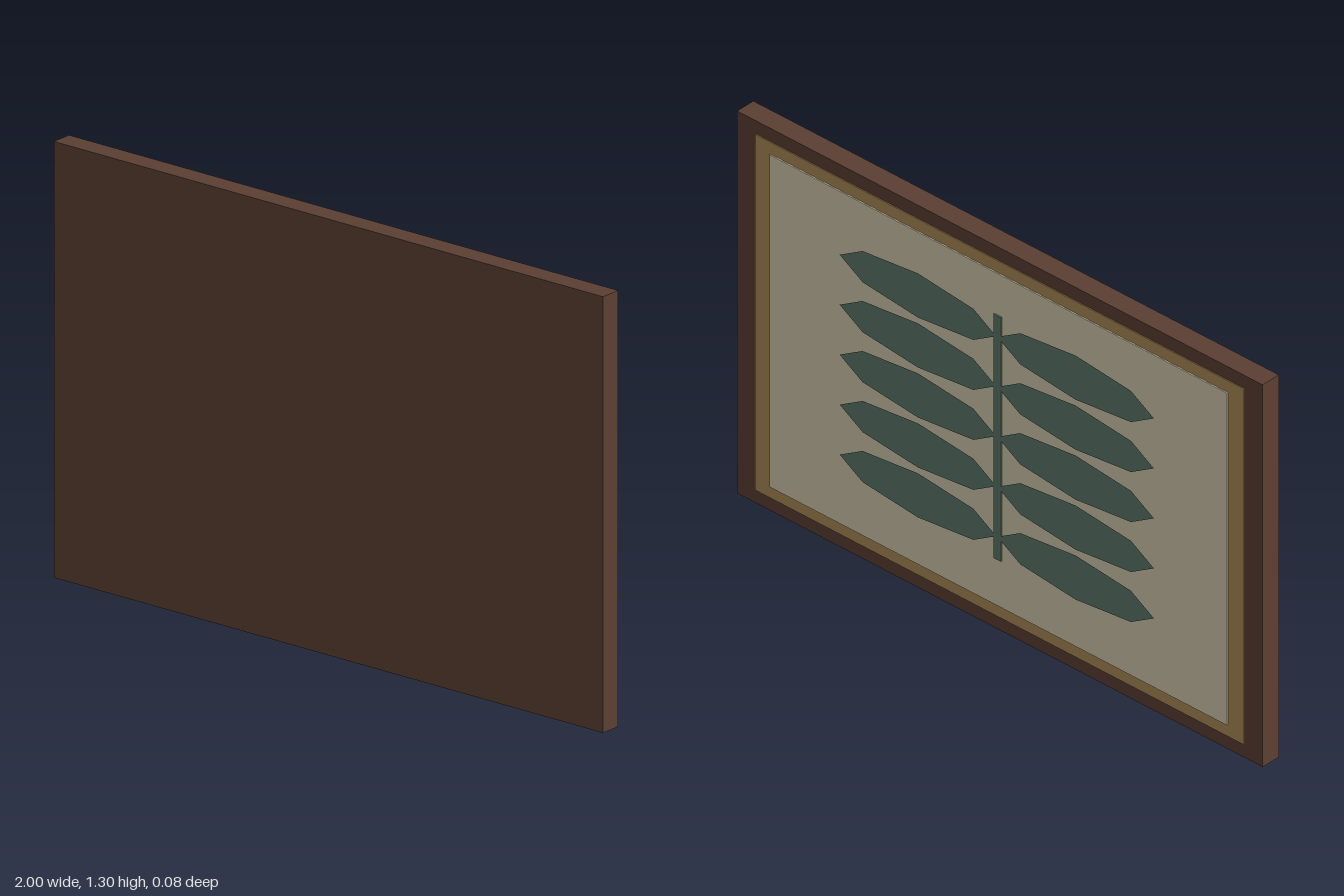
import * as THREE from 'three';

const mat = (color) => new THREE.MeshStandardMaterial({ color });

export function createModel() {
  const group = new THREE.Group();
  const midY = 0.65;
  const wood = mat(0x5c4033), gold = mat(0xb08d57), paper = mat(0xd8cfb0), green = mat(0x5f7a6c);

  // Box centred on x, spanning zBack..zFront
  const slab = (name, w, h, y, zBack, zFront, material) => {
    const mesh = new THREE.Mesh(new THREE.BoxGeometry(w, h, zFront - zBack), material);
    mesh.position.set(0, y, (zBack + zFront) / 2);
    mesh.name = name;
    group.add(mesh);
  };

  // Stepped layers, with the picture side towards -z
  slab('frame', 2, 1.3, midY, -0.027, 0.04, wood);
  slab('goldBorder', 1.86, 1.21, midY, -0.03, -0.02, gold);
  slab('paper', 1.74, 1.13, midY, -0.034, -0.025, paper);
  slab('stem', 0.028, 0.83, 0.66, -0.0385, -0.034, green);

  // Five pairs of flat eight-sided leaves, meeting at the stem
  const leafGeo = new THREE.CircleGeometry(1, 8);
  leafGeo.scale(0.298, 0.075, 1);
  leafGeo.rotateY(Math.PI);
  for (let i = 0; i < 5; i++) {
    for (const side of [-1, 1]) {
      const leaf = new THREE.Mesh(leafGeo, green);
      leaf.position.set(side * 0.3, 1.005 - i * 0.17, -0.04);
      leaf.name = side > 0 ? 'leftLeaf' : 'rightLeaf';
      group.add(leaf);
    }
  }
  return group;
}
